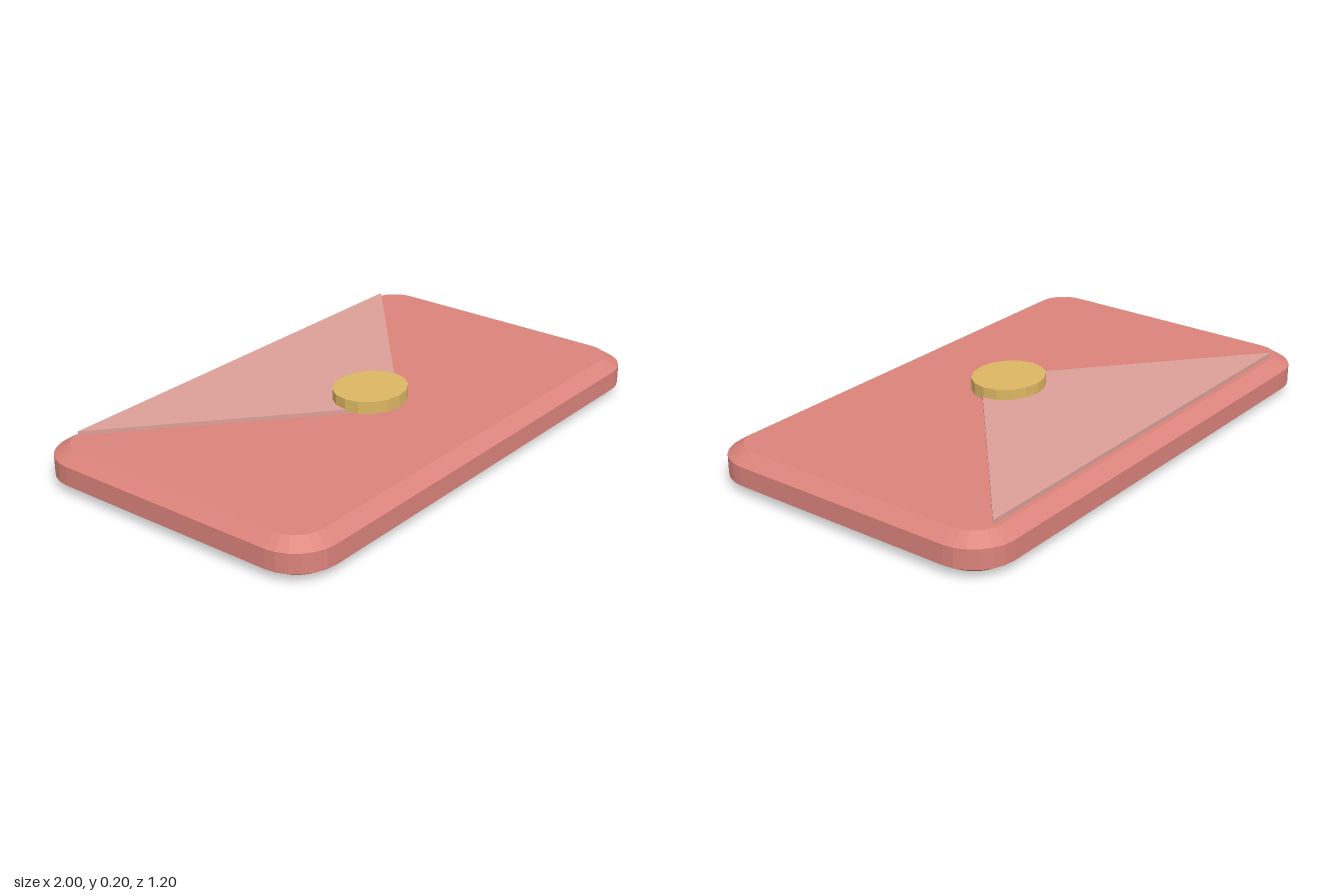
import * as THREE from 'three';

const mat = (name, color) => {
  const m = new THREE.MeshStandardMaterial({ color, flatShading: true });
  m.name = name;
  return m;
};

// Extrudes a ground-plan shape (shape y = -z) upward
function slab(shape, options) {
  return new THREE.ExtrudeGeometry(shape, options).rotateX(-Math.PI / 2);
}

// Rounded rectangle from half sizes
function roundedRect(w, h, r) {
  const s = new THREE.Shape();
  s.absarc(w - r, h - r, r, 0, Math.PI / 2);
  s.absarc(r - w, h - r, r, Math.PI / 2, Math.PI);
  s.absarc(r - w, r - h, r, Math.PI, Math.PI * 1.5);
  s.absarc(w - r, r - h, r, Math.PI * 1.5, Math.PI * 2);
  return s;
}

export function createModel() {
  const group = new THREE.Group();
  group.name = 'envelope';
  const add = (name, geometry, material) => {
    const mesh = new THREE.Mesh(geometry, material);
    mesh.name = name;
    group.add(mesh);
    return mesh;
  };

  // Envelope body with a single chamfer at top and bottom
  const bevel = 0.055;
  const body = add('body', slab(roundedRect(1 - bevel, 0.6 - bevel, 0.105), {
    depth: 0.072, curveSegments: 3,
    bevelEnabled: true, bevelSegments: 1, bevelSize: bevel, bevelThickness: 0.035,
  }), mat('coral red', 0xdb837b));
  body.position.y = 0.035;

  // Triangular flap, pointing to the front
  const triangle = new THREE.Shape([
    new THREE.Vector2(-0.86, 0.53),
    new THREE.Vector2(0, -0.21),
    new THREE.Vector2(0.86, 0.53),
  ]);
  const flap = add('flap', slab(triangle, { depth: 0.016, bevelEnabled: false }), mat('dusty pink', 0xdba098));
  flap.position.y = 0.144;

  // Slightly oval seal over the flap tip
  const seal = add('seal', new THREE.CylinderGeometry(1, 1, 0.046, 16), mat('gold', 0xdcb763));
  seal.scale.set(0.147, 1, 0.131);
  seal.position.set(0, 0.176, 0.079);

  return group;
}
